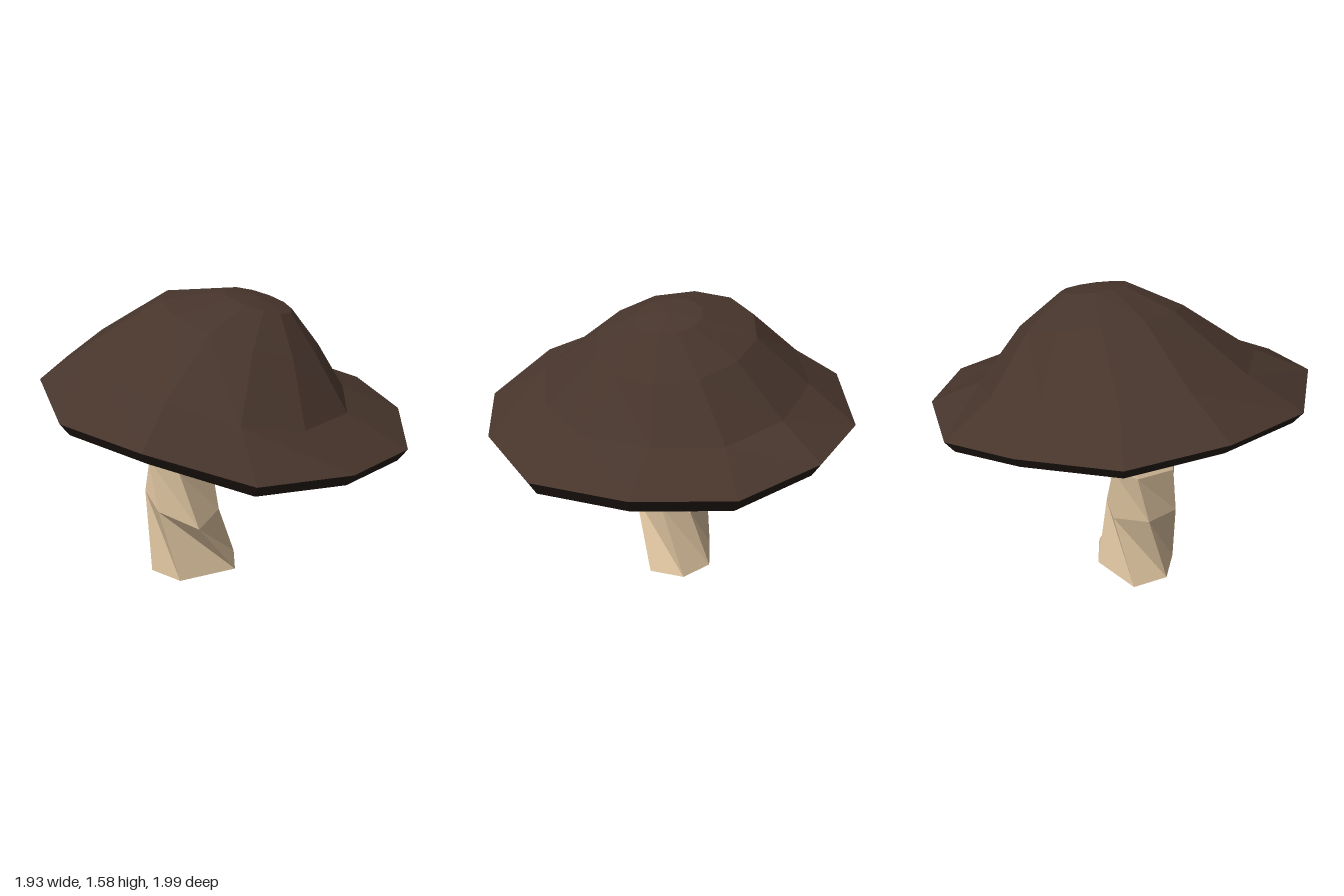
import * as THREE from 'three';

// Skin a stack of rings (each counter-clockwise seen from above), faceted.
function loft(name, color, rings) {
  const pos = [];
  for (let r = 0; r < rings.length - 1; r++) {
    const a = rings[r], b = rings[r + 1], n = a.length;
    for (let i = 0; i < n; i++) {
      const j = (i + 1) % n;
      pos.push(...a[i], ...a[j], ...b[i], ...b[i], ...a[j], ...b[j]);
    }
  }
  const geo = new THREE.BufferGeometry();
  geo.setAttribute('position', new THREE.Float32BufferAttribute(pos, 3));
  geo.computeVertexNormals();
  const mesh = new THREE.Mesh(geo, new THREE.MeshStandardMaterial({ color, flatShading: true }));
  mesh.name = name;
  return mesh;
}

// A ring collapsed to one point, closing a loft.
const point = (n, x, y, z) => Array.from({ length: n }, () => [x, y, z]);

// A regular ring that tilts down towards +x, aligned with the rim corners.
function tiltedRing(n, cx, cy, cz, radius, slope) {
  return Array.from({ length: n }, (_, i) => {
    const a = THREE.MathUtils.degToRad(-96 - (i * 360) / n);
    const x = Math.cos(a) * radius;
    return [cx + x, cy - slope * x, cz + Math.sin(a) * radius];
  });
}

export function createModel() {
  const group = new THREE.Group();
  group.name = 'mushroom';

  // Cap: wavy rim, flared skirt, then a lopsided dome
  const rim = [
    [-0.10, 0.98, -1.0], [-0.56, 1.10, -0.80], [-0.89, 1.12, -0.40], [-0.97, 1.17, 0.10],
    [-0.81, 1.13, 0.60], [-0.41, 1.11, 0.90], [0.10, 0.98, 0.99], [0.57, 0.92, 0.76],
    [0.91, 0.86, 0.35], [0.96, 0.87, -0.18], [0.80, 0.88, -0.65], [0.39, 0.94, -0.93],
  ];
  const skirt = [
    [-0.10, 1.17, -0.75], [-0.40, 1.26, -0.60], [-0.68, 1.30, -0.32], [-0.72, 1.33, 0.02],
    [-0.60, 1.28, 0.40], [-0.31, 1.24, 0.62], [0.04, 1.14, 0.69], [0.36, 1.05, 0.53],
    [0.61, 1.01, 0.22], [0.64, 1.01, -0.16], [0.53, 1.02, -0.50], [0.24, 1.08, -0.70],
  ];
  const n = rim.length;
  group.add(loft('cap', 0x47352c, [
    rim, skirt,
    tiltedRing(n, 0.07, 1.41, -0.08, 0.42, 0.33),
    tiltedRing(n, 0.16, 1.53, -0.07, 0.18, 0.29),
    point(n, 0.16, 1.55, -0.07),
  ]));

  // Underside: hollow cone ending in a bevelled lip below the rim
  const lip = rim.map(([x, y, z]) => [x * 0.95, y - 0.07, z * 0.95]);
  group.add(loft('capUnderside', 0x231b17, [point(n, 0, 1.23, 0), lip, rim]));

  // Stem: crooked six-sided rings, leaning into the cap
  group.add(loft('stem', 0xd6bd9a, [
    point(6, -0.2, 0, 0),
    [[-0.27, 0, 0.20], [0.04, 0, 0.08], [0.04, 0, -0.12], [-0.15, 0, -0.21], [-0.43, 0, -0.12], [-0.43, 0, 0.08]],
    [[-0.38, 0.41, 0.15], [-0.16, 0.35, 0.245], [-0.05, 0.37, 0.05], [-0.07, 0.35, -0.12], [-0.25, 0.36, -0.16], [-0.46, 0.44, -0.05]],
    [[-0.43, 0.71, 0.10], [-0.26, 0.66, 0.20], [-0.11, 0.80, 0.085], [-0.09, 0.65, -0.07], [-0.23, 0.68, -0.17], [-0.42, 0.70, -0.10]],
    [[-0.38, 0.91, 0.08], [-0.22, 0.94, 0.18], [-0.05, 0.95, 0.11], [0.02, 0.93, -0.07], [-0.12, 0.92, -0.16], [-0.33, 0.92, -0.10]],
    [[-0.15, 1.24, 0.05], [-0.05, 1.24, 0.12], [0.09, 1.24, 0.08], [0.13, 1.24, -0.06], [0.04, 1.24, -0.12], [-0.12, 1.24, -0.08]],
    point(6, 0, 1.25, 0),
  ]));

  return group;
}
